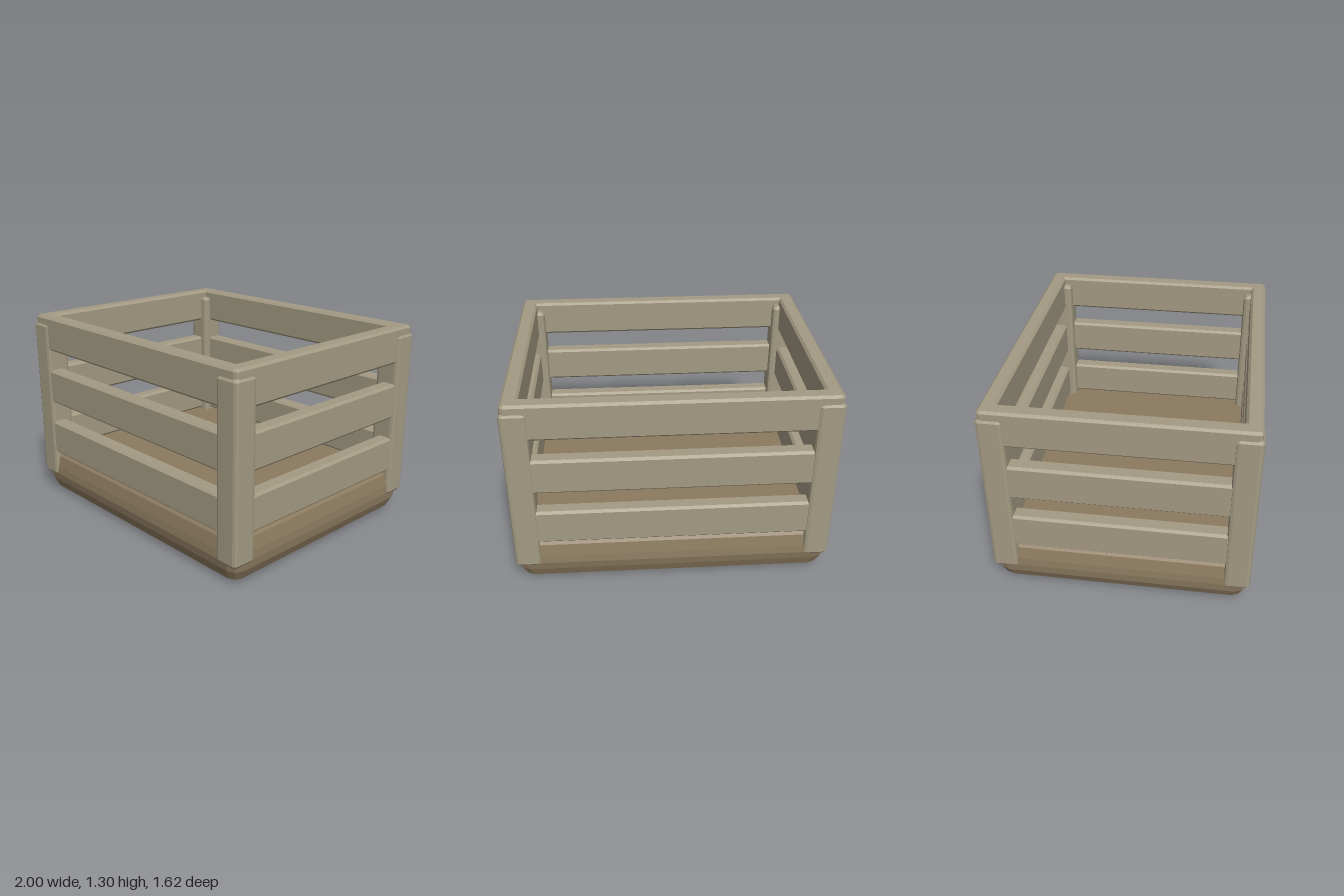
import * as THREE from 'three';

const wood = new THREE.MeshStandardMaterial({ color: 0xa39a82, flatShading: true });
const baseWood = new THREE.MeshStandardMaterial({ color: 0x8b7a5f, flatShading: true });

// Rounded rectangle outline at height y: half sizes hx, hz and corner radius r
function outline([hx, hz, r, y], steps) {
  const pts = [];
  for (let c = 0; c < 4; c++) {
    const sx = c === 0 || c === 3 ? 1 : -1;
    const sz = c < 2 ? 1 : -1;
    for (let k = 0; k <= steps; k++) {
      const a = (c + k / steps) * Math.PI / 2;
      pts.push([sx * (hx - r) + r * Math.cos(a), y, sz * (hz - r) + r * Math.sin(a)]);
    }
  }
  return pts;
}

// Skin a series of outlines; zero-sized outlines close the ends
function loft(sections, steps) {
  const loops = sections.map((s) => outline(s, steps));
  const pos = [];
  for (let i = 0; i < loops.length - 1; i++) {
    const n = loops[i].length;
    for (let j = 0; j < n; j++) {
      const k = (j + 1) % n;
      const a = loops[i][j], b = loops[i][k], c = loops[i + 1][j], d = loops[i + 1][k];
      pos.push(...a, ...c, ...b, ...b, ...c, ...d);
    }
  }
  const g = new THREE.BufferGeometry();
  g.setAttribute('position', new THREE.Float32BufferAttribute(pos, 3));
  g.computeVertexNormals();
  return g;
}

function add(parent, name, geometry, material) {
  const mesh = new THREE.Mesh(geometry, material);
  mesh.name = name;
  parent.add(mesh);
  return mesh;
}

// Closed frame of four bevelled boards between heights y0 and y1
function slatFrame(y0, y1) {
  const b = 0.015;
  const X = 0.99, Z = 0.8, x = 0.888, z = 0.7;
  return loft([
    [X, Z, 0.025, y0 + b], [X, Z, 0.025, y1 - b],
    [X - b, Z - b, 0.015, y1], [x + b, z + b, 0, y1],
    [x, z, 0, y1 - b], [x, z, 0, y0 + b],
    [x + b, z + b, 0, y0], [X - b, Z - b, 0.015, y0],
    [X, Z, 0.025, y0 + b],
  ], 2);
}

export function createModel() {
  const crate = new THREE.Group();
  crate.name = 'crate';

  // Solid tray with a tapered underside and a softened upper edge
  add(crate, 'base', loft([
    [0, 0, 0, 0],
    [0.89, 0.71, 0.04, 0],
    [0.955, 0.765, 0.06, 0.03],
    [0.985, 0.79, 0.07, 0.095],
    [0.99, 0.8, 0.07, 0.15],
    [0.985, 0.793, 0.07, 0.2],
    [0.965, 0.775, 0.06, 0.277],
    [0.94, 0.75, 0.05, 0.3],
    [0, 0, 0, 0.3],
  ], 2), baseWood);

  // Three rows of slats
  const slats = new THREE.Group();
  slats.name = 'slats';
  crate.add(slats);
  for (const [y0, y1] of [[0.315, 0.55], [0.69, 0.925], [1.065, 1.3]]) {
    add(slats, 'slatFrame', slatFrame(y0, y1), wood);
  }

  // Corner posts
  const posts = new THREE.Group();
  posts.name = 'cornerPosts';
  crate.add(posts);
  const h = 0.08, b = 0.015;
  const postGeometry = loft([
    [0, 0, 0, 0.135],
    [h - b, h - b, 0.015, 0.135],
    [h, h, 0.022, 0.155],
    [h, h, 0.022, 1.23],
    [h - b, h - b, 0.015, 1.25],
    [0, 0, 0, 1.25],
  ], 2);
  for (const sx of [-1, 1]) {
    for (const sz of [-1, 1]) {
      add(posts, 'cornerPost', postGeometry, wood).position.set(sx * 0.92, 0, sz * 0.73);
    }
  }
  return crate;
}
